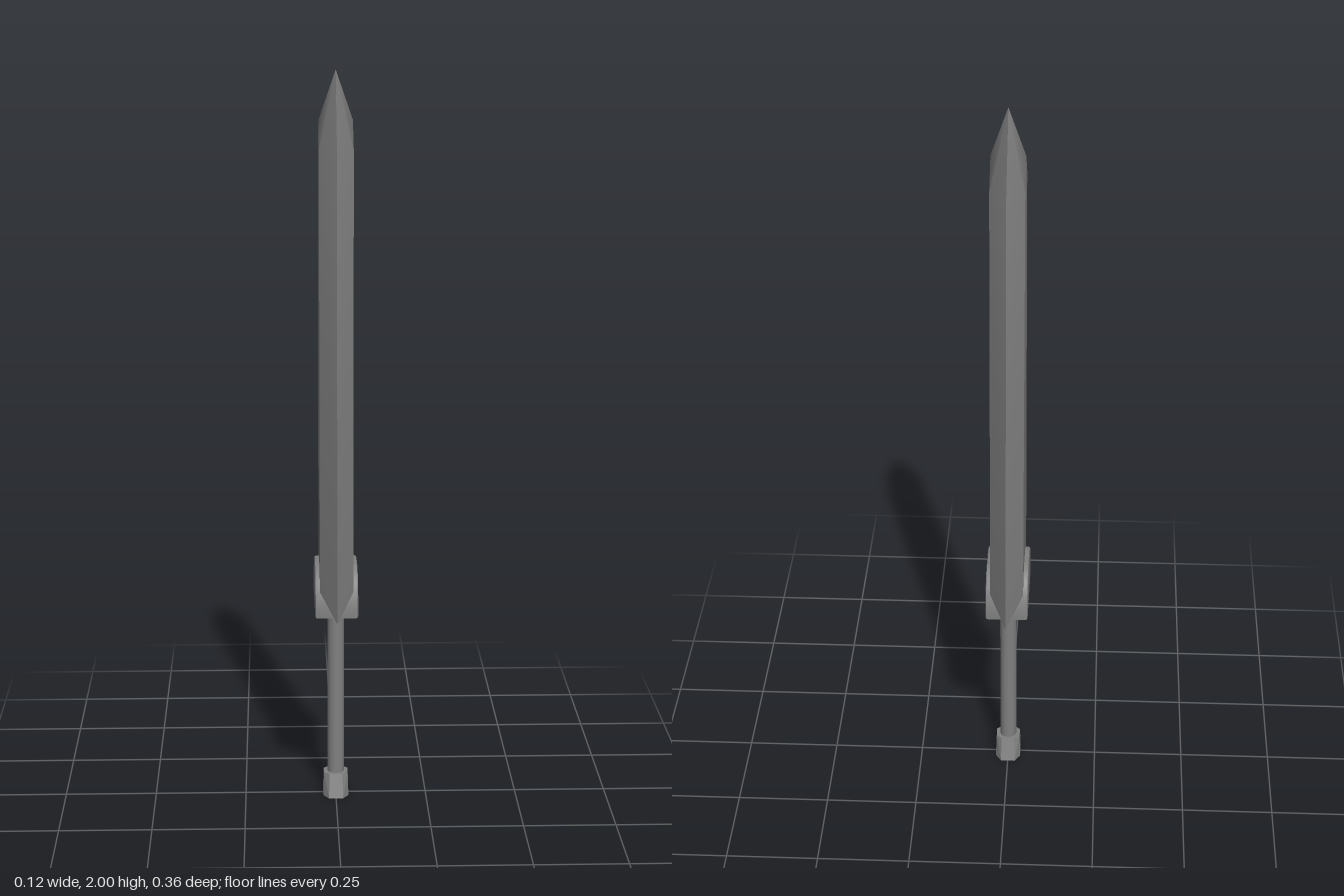
import * as THREE from 'three';
import { ConvexGeometry } from 'three/addons/geometries/ConvexGeometry.js';
import { toCreasedNormals } from 'three/addons/utils/BufferGeometryUtils.js';

const smooth = new THREE.MeshStandardMaterial({ color: 0x808080 });
const faceted = new THREE.MeshStandardMaterial({ color: 0x808080, flatShading: true });

function part(name, geometry, material) {
  const mesh = new THREE.Mesh(geometry, material);
  mesh.name = name;
  return mesh;
}

// Broad tapering blade: flat cheeks, bevelled edges, four-sided point, keeled base
function bladeGeometry() {
  const t = 0.045;
  const points = [new THREE.Vector3(0, 2, 0)];
  for (const x of [-t, t]) points.push(new THREE.Vector3(x, 1.87, 0));
  for (const side of [-1, 1]) {
    points.push(new THREE.Vector3(0, 0.552, side * 0.18), new THREE.Vector3(0, 1.8, side * 0.13));
    for (const x of [-t, t]) {
      points.push(new THREE.Vector3(x, 0.62, side * 0.112), new THREE.Vector3(x, 1.8, side * 0.067));
    }
  }
  return toCreasedNormals(new ConvexGeometry(points), 0.5);
}

// Arched guard block clasping the blade's base
function guardGeometry() {
  const w = 0.12, base = 0.55, shoulder = 0.556, top = 0.673;
  const shape = new THREE.Shape();
  shape.moveTo(-w, base);
  shape.lineTo(w, base);
  shape.lineTo(w, shoulder);
  shape.bezierCurveTo(w - 0.002, 0.62, 0.085, top, 0.03, top);
  shape.lineTo(-0.03, top);
  shape.bezierCurveTo(-0.085, top, -w + 0.002, 0.62, -w, shoulder);
  shape.closePath();
  const geometry = new THREE.ExtrudeGeometry(shape, {
    depth: 0.104, curveSegments: 12, bevelEnabled: true,
    bevelThickness: 0.006, bevelSize: 0.005, bevelOffset: -0.003, bevelSegments: 2,
  });
  geometry.translate(0, 0, -0.052);
  geometry.rotateY(Math.PI / 2);
  geometry.translate(0, 0, -0.004);
  return toCreasedNormals(geometry, 0.6);
}

// Eight-sided pommel flaring front to back towards its foot
function pommelGeometry() {
  const points = [];
  for (const [y, x, z] of [[0, 0.035, 0.05], [0.065, 0.033, 0.03]]) {
    for (const sx of [-1, 1]) for (const sz of [-1, 1]) {
      points.push(new THREE.Vector3(sx * x, y, sz * z * 0.5));
      points.push(new THREE.Vector3(sx * x * 0.55, y, sz * z));
    }
  }
  return new ConvexGeometry(points);
}

export function createModel() {
  const group = new THREE.Group();
  group.name = 'sword';
  group.add(part('blade', bladeGeometry(), smooth));
  group.add(part('guard', guardGeometry(), smooth));

  const grip = part('grip', new THREE.CylinderGeometry(0.023, 0.023, 0.51, 16), smooth);
  grip.position.y = 0.305;
  group.add(grip);

  group.add(part('pommel', pommelGeometry(), faceted));
  return group;
}
